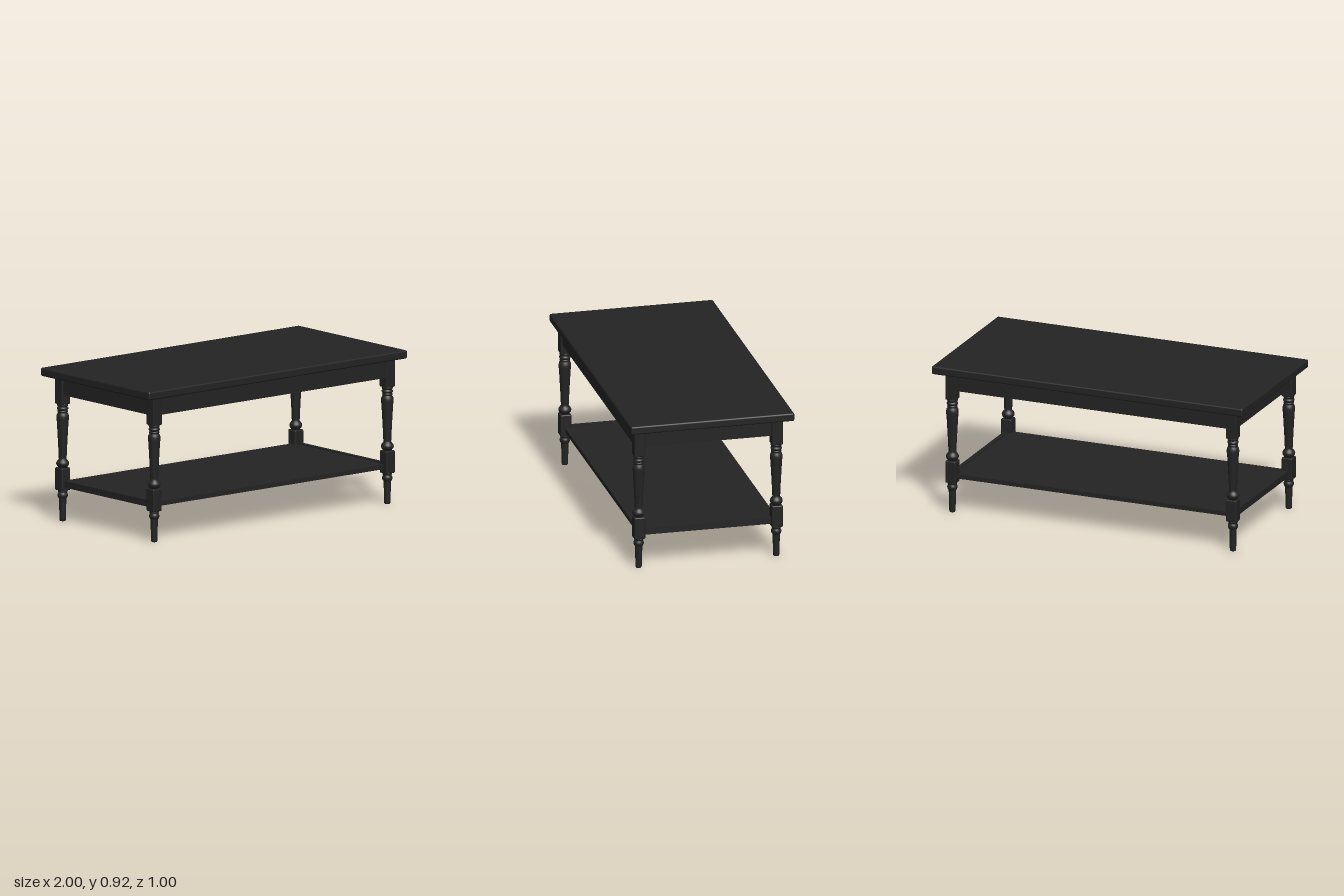
import * as THREE from 'three';
import { RoundedBoxGeometry } from 'three/addons/geometries/RoundedBoxGeometry.js';

const blackPaint = new THREE.MeshStandardMaterial({ color: 0x232323 });
blackPaint.name = 'blackPaint';

const LEG_X = 0.902, LEG_Z = 0.419, FRAME_Z = 0.009; // the frame sits slightly forward of the top
const LEG_W = 0.067;

function add(parent, name, geometry, x = 0, y = 0, z = 0) {
  const mesh = new THREE.Mesh(geometry, blackPaint);
  mesh.name = name;
  mesh.position.set(x, y, z);
  parent.add(mesh);
  return mesh;
}

// Box given by its bottom and top heights, with optional rounded edges
function slab(parent, name, w, y0, y1, d, x, z, radius = 0) {
  const h = y1 - y0;
  const geometry = radius
    ? new RoundedBoxGeometry(w, h, d, 3, radius)
    : new THREE.BoxGeometry(w, h, d);
  return add(parent, name, geometry, x, (y0 + y1) / 2, z);
}

// Lathe from [radius, height] pairs
function turned(parent, name, profile) {
  const points = profile.map(([r, y]) => new THREE.Vector2(r, y));
  return add(parent, name, new THREE.LatheGeometry(points, 28));
}

// Half-round bead between two heights, as [radius, height] pairs
function bead(y0, y1, rNeck, rMax, steps = 6) {
  return Array.from({ length: steps + 1 }, (_, i) => {
    const t = i / steps;
    return [rNeck + (rMax - rNeck) * Math.sin(Math.PI * t), y0 + (y1 - y0) * t];
  });
}

function makeLeg() {
  const leg = new THREE.Group();
  leg.name = 'leg';

  // Tapered foot with two beads under the lower block
  turned(leg, 'foot', [
    [0, 0], [0.015, 0], [0.018, 0.004], [0.019, 0.012], [0.022, 0.137],
    ...bead(0.138, 0.174, 0.024, 0.031),
    ...bead(0.174, 0.19, 0.026, 0.029),
  ]);

  slab(leg, 'lowerBlock', LEG_W, 0.186, 0.322, LEG_W, 0, 0, 0.007);

  // Ball, tapering shaft, shoulder and collar beads
  turned(leg, 'turnedShaft', [
    [0.026, 0.318],
    ...bead(0.321, 0.373, 0.023, 0.0385, 10),
    [0.0235, 0.38], [0.027, 0.46], [0.0325, 0.56], [0.035, 0.602],
    [0.0372, 0.615], [0.0372, 0.63], [0.035, 0.642], [0.029, 0.652],
    ...bead(0.653, 0.668, 0.028, 0.031),
    ...bead(0.668, 0.689, 0.028, 0.034),
    ...bead(0.689, 0.712, 0.028, 0.033),
  ]);

  slab(leg, 'upperBlock', LEG_W, 0.705, 0.876, LEG_W, 0, 0, 0.006);
  return leg;
}

export function createModel() {
  const table = new THREE.Group();
  table.name = 'coffeeTable';

  slab(table, 'tableTop', 2, 0.872, 0.922, 0.996, 0, 0, 0.01);

  const frame = new THREE.Group();
  frame.name = 'frame';
  frame.position.z = FRAME_Z;
  table.add(frame);

  // Four turned legs
  for (const sx of [-1, 1]) {
    for (const sz of [-1, 1]) {
      const leg = makeLeg();
      leg.position.set(sx * LEG_X, 0, sz * LEG_Z);
      frame.add(leg);
    }
  }

  // Aprons and end rails, set in slightly from the leg faces
  const inset = 0.01;
  for (const s of [-1, 1]) {
    slab(frame, 'longApron', 2 * LEG_X, 0.764, 0.874, 0.025, 0, s * (LEG_Z + inset));
    slab(frame, 'endApron', 0.025, 0.764, 0.874, 2 * LEG_Z, s * (LEG_X + inset), 0);
    slab(frame, 'endRail', 0.025, 0.206, 0.246, 2 * LEG_Z, s * LEG_X, 0);
  }

  // Lower shelf between the legs
  slab(frame, 'shelf', 2 * LEG_X, 0.212, 0.239, 2 * LEG_Z + 0.01, 0, 0);

  return table;
}
